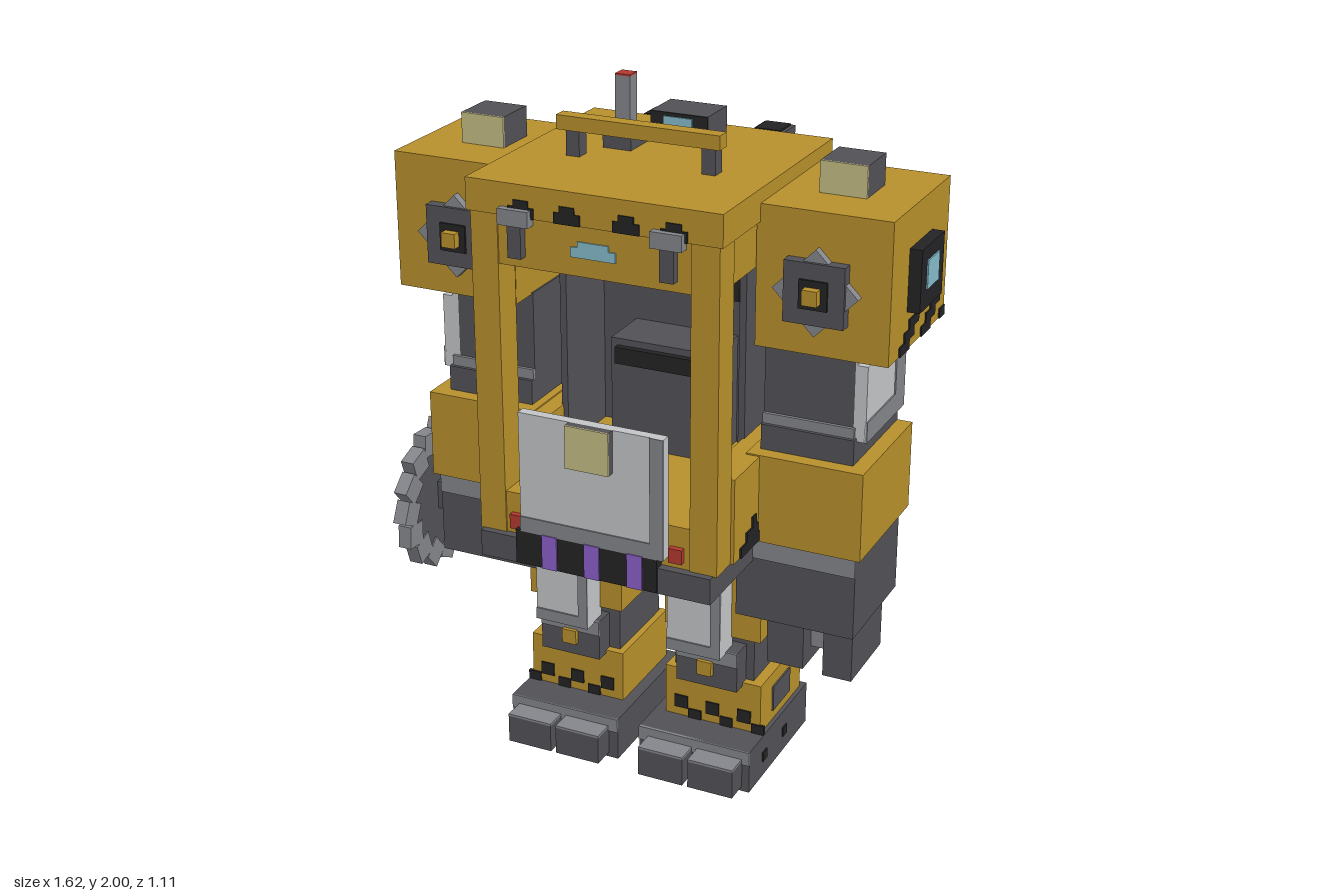
import * as THREE from 'three';

const mat = (name, color) => {
  const m = new THREE.MeshStandardMaterial({ color });
  m.name = name;
  return m;
};

export function createModel() {
  const gold = mat('gold', 0xb8902c), dark = mat('darkGrey', 0x525156), mid = mat('midGrey', 0x84868b);
  const black = mat('black', 0x232325), white = mat('paleGrey', 0xc3c5c7), blue = mat('blue', 0x86bccb);
  const red = mat('red', 0xb2392e), purple = mat('purple', 0x8b5fc9), khaki = mat('khaki', 0xc5bd85);

  const model = new THREE.Group();
  model.name = 'robotSuit';
  // the body's symmetry plane sits a little off centre because of the saw
  const body = new THREE.Group();
  body.name = 'body';
  body.position.x = 0.04;
  model.add(body);

  // box from its extents
  const box = (name, m, x0, x1, y0, y1, z0, z1) => {
    const mesh = new THREE.Mesh(new THREE.BoxGeometry(x1 - x0, y1 - y0, z1 - z0), m);
    mesh.position.set((x0 + x1) / 2, (y0 + y1) / 2, (z0 + z1) / 2);
    mesh.name = name;
    body.add(mesh);
    return mesh;
  };
  // box repeated on both sides
  const pair = (name, m, x0, x1, ...r) => {
    box(name + 'Left', m, x0, x1, ...r);
    box(name + 'Right', m, -x1, -x0, ...r);
  };
  // eight-pointed gear from two crossed squares; axis along z, or along x when turned
  const gear = (name, x, y, z, s, turn) => {
    const g = new THREE.Group();
    g.name = name;
    const add = (n, m, w, d, zc, rot = 0) => {
      const p = new THREE.Mesh(new THREE.BoxGeometry(w, w, d), m);
      p.position.z = zc;
      p.rotation.z = rot;
      p.name = n;
      g.add(p);
    };
    add('gearPlate', dark, s, 0.035, 0.018);
    add('gearTeeth', mid, s, 0.024, 0.014, Math.PI / 4);
    add('gearHub', black, s * 0.47, 0.014, 0.035);
    add('gearPin', gold, s * 0.25, 0.065, 0.034);
    g.position.set(x, y, z);
    g.rotation.y = turn;
    body.add(g);
  };

  // roof
  box('roof', gold, -0.37, 0.37, 1.71, 1.8, -0.24, 0.505);
  for (const x of [-0.205, -0.07, 0.1, 0.235]) {
    box('roofMark', black, x - 0.038, x + 0.038, 1.71, 1.74, 0.5, 0.509);
    box('roofMarkTop', black, x - 0.022, x + 0.022, 1.74, 1.758, 0.5, 0.509);
  }
  box('roofRail', gold, -0.24, 0.24, 1.875, 1.915, 0.195, 0.237);
  pair('railPost', dark, 0.18, 0.22, 1.8, 1.88, 0.178, 0.22);
  box('antennaBase', dark, -0.165, -0.08, 1.8, 1.835, -0.02, 0.11);
  box('antenna', mid, -0.145, -0.1, 1.83, 1.995, 0.03, 0.073);
  box('antennaTip', red, -0.145, -0.1, 1.995, 2.0, 0.03, 0.073);
  box('searchlight', dark, -0.085, 0.087, 1.8, 1.88, -0.155, -0.03);
  box('searchlightFace', black, -0.085, 0.087, 1.8, 1.88, -0.03, -0.023);
  box('searchlightGlass', blue, -0.045, 0.042, 1.838, 1.87, -0.024, -0.019);

  // cockpit frame
  pair('frontPillar', gold, 0.28, 0.36, 0.78, 1.71, 0.41, 0.5);
  box('header', gold, -0.28, 0.28, 1.57, 1.71, 0.41, 0.495);
  box('headerGlass', blue, -0.065, 0.065, 1.622, 1.65, 0.49, 0.499);
  box('headerGlassTop', blue, -0.045, 0.045, 1.65, 1.666, 0.49, 0.499);
  pair('sideBeam', gold, 0.28, 0.355, 1.58, 1.71, -0.2, 0.41);
  pair('clamp', mid, 0.175, 0.265, 1.69, 1.735, 0.49, 0.527);
  pair('clampStem', dark, 0.2, 0.24, 1.6, 1.69, 0.49, 0.52);
  pair('lowerSide', gold, 0.28, 0.37, 0.78, 1.032, -0.22, 0.41);
  box('lowerFront', gold, -0.28, 0.28, 0.78, 0.905, -0.22, 0.495);
  for (const s of [0, 1, 2]) {
    pair('sideHazard', black, 0.365, 0.375, 0.78 + s * 0.03, 0.81 + s * 0.03, 0.24 + s * 0.012, 0.37 - s * 0.04);
  }

  // cockpit interior
  box('rearWall', gold, -0.36, 0.36, 0.78, 1.71, -0.22, -0.1);
  box('innerWall', dark, -0.28, 0.28, 0.9, 1.71, -0.1, -0.085);
  pair('innerSide', dark, 0.265, 0.285, 0.9, 1.7, -0.1, 0.15);
  box('ceilingPanel', black, -0.27, 0.27, 1.455, 1.7, -0.09, 0.12);
  box('ceilingPanelEdge', black, -0.25, 0.25, 1.42, 1.455, -0.09, 0.12);
  [[-0.155, blue], [0, blue], [0.155, red]].forEach(([x, m]) => {
    box('panelLight', m, x - 0.045, x + 0.045, 1.53, 1.6, 0.115, 0.125);
  });
  box('seat', dark, -0.16, 0.16, 0.9, 1.235, -0.09, 0.08);
  box('seatCushion', black, -0.14, 0.14, 1.165, 1.215, 0.075, 0.1);

  // front plate and bumper
  box('chestPlate', white, -0.22, 0.215, 0.81, 1.165, 0.495, 0.525);
  box('chestPlateEdgeSide', mid, 0.175, 0.215, 0.81, 1.165, 0.522, 0.529);
  box('chestPlateEdgeBase', mid, -0.22, 0.215, 0.81, 0.855, 0.522, 0.529);
  box('chestLamp', dark, -0.065, 0.065, 1.04, 1.165, 0.525, 0.547);
  box('chestLampFace', khaki, -0.065, 0.065, 1.04, 1.165, 0.547, 0.552);
  box('waist', dark, -0.35, 0.35, 0.705, 0.782, -0.17, 0.52);
  box('bumper', black, -0.235, 0.195, 0.71, 0.812, 0.49, 0.528);
  for (const x of [-0.13, 0, 0.13]) box('bumperStripe', purple, x - 0.023, x + 0.023, 0.71, 0.812, 0.522, 0.532);
  pair('markerLight', red, 0.222, 0.262, 0.802, 0.845, 0.48, 0.512);
  box('hip', dark, -0.22, 0.22, 0.6, 0.71, -0.11, 0.2);
  box('hipLatch', black, -0.087, 0.087, 0.625, 0.665, 0.19, 0.225);
  box('hipLatchCore', black, -0.07, 0.07, 0.61, 0.68, 0.19, 0.224);

  // shoulders
  pair('shoulder', gold, 0.36, 0.735, 1.365, 1.76, -0.175, 0.267);
  pair('shoulderLamp', dark, 0.472, 0.605, 1.76, 1.848, -0.02, 0.11);
  pair('shoulderLampFace', khaki, 0.472, 0.605, 1.76, 1.848, 0.11, 0.116);
  pair('windowFrame', black, 0.735, 0.77, 1.475, 1.65, -0.04, 0.137);
  pair('windowGlass', blue, 0.765, 0.774, 1.53, 1.61, 0.004, 0.095);
  for (const z of [0.19, 0.02, -0.15]) {
    for (const s of [0, 1, 2]) {
      const z1 = Math.max(z - s * 0.035, -0.13), z0 = Math.max(z1 - 0.075, -0.172);
      if (z > -0.1 || s < 1) pair('shoulderHazard', black, 0.73, 0.739, 1.365 + s * 0.028, 1.393 + s * 0.028, z0, z1);
    }
  }

  // arms
  pair('upperArm', dark, 0.355, 0.615, 1.03, 1.37, -0.13, 0.18);
  pair('armCuff', dark, 0.355, 0.625, 1.03, 1.11, -0.15, 0.2);
  pair('armCuffTrim', mid, 0.355, 0.62, 1.11, 1.14, -0.13, 0.19);
  pair('armGuard', white, 0.6, 0.65, 1.1, 1.32, -0.11, 0.18);
  pair('armGuardUpper', white, 0.6, 0.62, 1.32, 1.37, -0.11, 0.18);
  pair('armGuardEdge', mid, 0.645, 0.654, 1.1, 1.32, -0.115, -0.04);
  pair('armGuardBase', mid, 0.645, 0.654, 1.1, 1.16, -0.04, 0.18);
  pair('armPiston', dark, 0.45, 0.5, 1.03, 1.37, -0.16, -0.12);
  pair('elbow', gold, 0.33, 0.67, 0.775, 1.036, -0.15, 0.243);
  pair('forearm', dark, 0.3, 0.653, 0.525, 0.775, -0.12, 0.228);
  pair('forearmTrim', mid, 0.3, 0.653, 0.715, 0.775, 0.224, 0.232);

  // gripping hand
  box('handThumb', dark, 0.375, 0.485, 0.36, 0.525, -0.07, 0.17);
  box('handFingers', dark, 0.545, 0.632, 0.355, 0.525, -0.07, 0.17);
  box('handPalm', mid, 0.485, 0.545, 0.405, 0.525, -0.04, 0.11);
  pair('wristBlock', black, 0.32, 0.37, 0.45, 0.525, 0.0, 0.12);

  // circular saw
  const saw = new THREE.Group();
  saw.name = 'saw';
  saw.position.set(-0.745, 0.645, 0.085);
  saw.rotation.z = Math.PI / 2;
  const disc = new THREE.Mesh(new THREE.CylinderGeometry(0.2, 0.2, 0.034, 16), dark);
  disc.name = 'sawDisc';
  saw.add(disc);
  for (let i = 0; i < 16; i++) {
    const a = (i / 16) * Math.PI * 2;
    const tooth = new THREE.Mesh(new THREE.BoxGeometry(0.07, 0.042, 0.07), mid);
    tooth.position.set(Math.cos(a) * 0.195, 0, Math.sin(a) * 0.195);
    tooth.rotation.y = -a + 0.45;
    tooth.name = 'sawTooth';
    saw.add(tooth);
  }
  body.add(saw);
  box('sawAxle', dark, -0.82, -0.64, 0.6, 0.69, 0.04, 0.13);
  box('sawPin', gold, -0.85, -0.81, 0.624, 0.664, 0.065, 0.107);

  // legs and feet
  pair('thigh', gold, 0.07, 0.37, 0.435, 0.7, -0.1, 0.21);
  pair('thighCore', dark, 0.1, 0.345, 0.43, 0.54, -0.08, 0.18);
  pair('shin', dark, 0.09, 0.34, 0.28, 0.44, -0.085, 0.18);
  pair('knee', dark, 0.125, 0.315, 0.28, 0.405, 0.17, 0.247);
  pair('kneeTrim', mid, 0.125, 0.315, 0.36, 0.405, 0.242, 0.251);
  pair('kneeBolt', gold, 0.195, 0.24, 0.32, 0.365, 0.24, 0.262);
  for (const s of [-1, 1]) {
    const c = s > 0 ? 0.2 : -0.22;
    box('kneePlate', white, c - 0.087, c + 0.08, 0.4, 0.62, 0.2, 0.288);
    box('kneePlateEdge', mid, c + 0.05, c + 0.08, 0.4, 0.62, 0.284, 0.293);
    box('kneePlateBase', mid, c - 0.087, c + 0.05, 0.4, 0.435, 0.284, 0.293);
  }
  pair('ankle', gold, 0.07, 0.372, 0.13, 0.29, -0.1, 0.203);
  pair('anklePanel', dark, 0.368, 0.377, 0.165, 0.245, -0.01, 0.117);
  for (let i = 0; i < 3; i++) {
    const x = 0.1 + i * 0.1;
    pair('ankleHazard', black, x, x + 0.042, 0.16, 0.2, 0.199, 0.208);
    pair('ankleHazardLow', black, x + 0.045, x + 0.085, 0.13, 0.162, 0.199, 0.208);
  }
  pair('foot', dark, 0.035, 0.385, 0, 0.133, -0.125, 0.31);
  pair('footTrim', mid, 0.035, 0.385, 0.09, 0.133, 0.305, 0.314);
  for (const x of [0.065, 0.222]) {
    pair('toe', dark, x, x + 0.14, 0.015, 0.1, 0.3, 0.38);
    pair('toeTop', mid, x, x + 0.14, 0.1, 0.107, 0.305, 0.38);
  }
  pair('heel', dark, 0.12, 0.3, 0.015, 0.1, -0.2, -0.12);
  for (const z of [0.05, 0.2]) pair('footBolt', black, 0.38, 0.389, 0.05, 0.08, z - 0.015, z + 0.015);
  pair('calfTank', mid, 0.16, 0.28, 0.4, 0.565, -0.2, -0.07);
  pair('calfTankCap', red, 0.16, 0.28, 0.565, 0.572, -0.2, -0.07);
  pair('calfPipe', dark, 0.2, 0.24, 0.18, 0.4, -0.118, -0.08);

  // backpack
  pair('packSide', gold, 0.13, 0.265, 0.925, 1.54, -0.38, -0.21);
  box('packCentre', gold, -0.13, 0.13, 0.925, 1.45, -0.33, -0.21);
  pair('exhaust', dark, 0.125, 0.22, 1.5, 1.795, -0.335, -0.235);
  pair('exhaustOpening', black, 0.135, 0.21, 1.795, 1.801, -0.325, -0.245);
  box('valve', gold, -0.045, 0.045, 1.5, 1.58, -0.33, -0.22);
  box('valveBar', mid, -0.09, 0.09, 1.6, 1.63, -0.28, -0.22);
  box('valveCap', dark, -0.025, 0.025, 1.58, 1.66, -0.29, -0.22);
  pair('ladderRail', dark, 0.13, 0.18, 0.885, 1.58, -0.42, -0.37);
  for (const y of [1.0, 1.31, 1.43]) box('ladderRung', mid, -0.13, 0.13, y, y + 0.04, -0.415, -0.375);
  box('packBelt', black, -0.2, 0.195, 1.148, 1.232, -0.465, -0.41);
  for (const x of [-0.13, 0, 0.13]) box('beltStripe', purple, x - 0.022, x + 0.022, 1.148, 1.232, -0.469, -0.46);
  box('fuelTank', mid, -0.11, 0.107, 0.775, 1.115, -0.553, -0.42);
  box('fuelTankCap', red, -0.11, 0.107, 1.115, 1.122, -0.553, -0.42);

  // gears on shoulders and backpack
  for (const s of [-1, 1]) {
    gear('shoulderGear', s * 0.535, 1.545, 0.265, 0.17, 0);
    gear('packGear', s * 0.263, 1.238, -0.3, 0.17, (s * Math.PI) / 2);
  }
  return model;
}
